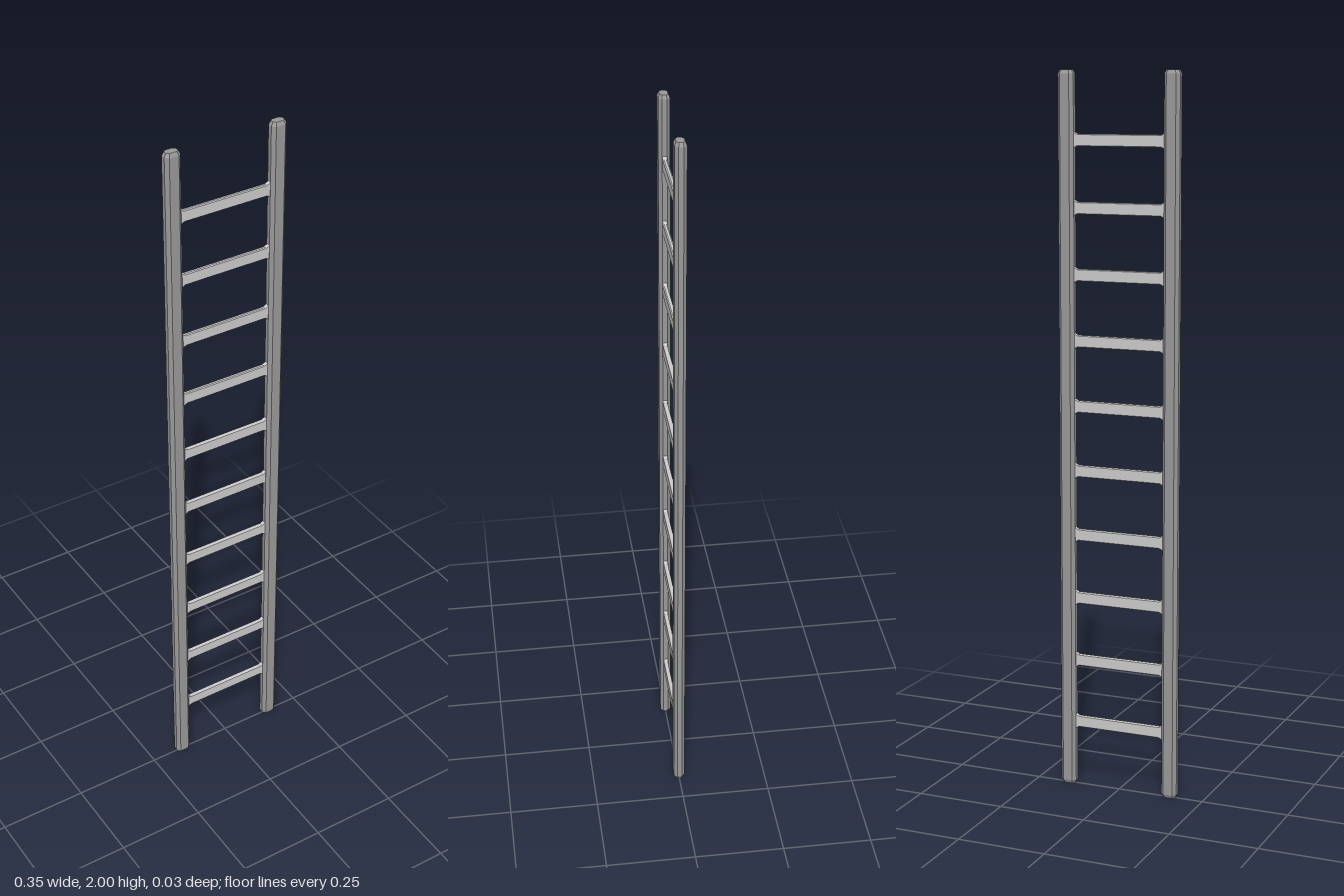
import * as THREE from 'three';

const railMaterial = new THREE.MeshStandardMaterial({ color: 0x999999, flatShading: true });
const rungMaterial = new THREE.MeshStandardMaterial({ color: 0xcccccc, flatShading: true });

// Chamfered bar along +y. Rings are [y, halfWidth, halfDepth, chamferX, chamferZ].
function chamferedBar(rings) {
  const positions = [];
  const index = [];
  for (const [y, w, d, cx, cz] of rings) {
    const corners = [
      [w, d - cz], [w - cx, d], [cx - w, d], [-w, d - cz],
      [-w, cz - d], [cx - w, -d], [w - cx, -d], [w, cz - d],
    ];
    for (const [x, z] of corners) positions.push(x, y, z);
  }
  const last = (rings.length - 1) * 8;
  for (let r = 0; r < last; r += 8) {
    for (let i = 0; i < 8; i++) {
      const j = (i + 1) % 8;
      index.push(r + i, r + 8 + i, r + j, r + j, r + 8 + i, r + 8 + j);
    }
  }
  // End caps
  for (let i = 1; i < 7; i++) {
    index.push(0, i, i + 1);
    index.push(last, last + i + 1, last + i);
  }
  const geometry = new THREE.BufferGeometry();
  geometry.setAttribute('position', new THREE.Float32BufferAttribute(positions, 3));
  geometry.setIndex(index);
  const flat = geometry.toNonIndexed();
  flat.computeVertexNormals();
  return flat;
}

export function createModel() {
  const ladder = new THREE.Group();
  ladder.name = 'ladder';

  // Darker side rails with bevelled ends
  const railGeometry = chamferedBar([
    [0, 0.017, 0.011, 0.007, 0.006],
    [0.01, 0.0225, 0.0155, 0.009, 0.009],
    [1.99, 0.0225, 0.0155, 0.009, 0.009],
    [2, 0.017, 0.011, 0.007, 0.006],
  ]);
  for (const [name, side] of [['leftRail', 1], ['rightRail', -1]]) {
    const rail = new THREE.Mesh(railGeometry, railMaterial);
    rail.name = name;
    rail.position.x = side * 0.153;
    ladder.add(rail);
  }

  // Lighter rungs, flaring in height where they meet the rails
  const rungGeometry = chamferedBar([
    [-0.135, 0.024, 0.006, 0.002, 0.003],
    [-0.121, 0.0165, 0.006, 0.002, 0.003],
    [0.121, 0.0165, 0.006, 0.002, 0.003],
    [0.135, 0.024, 0.006, 0.002, 0.003],
  ]);
  rungGeometry.rotateZ(Math.PI / 2);
  for (let i = 0; i < 10; i++) {
    const rung = new THREE.Mesh(rungGeometry, rungMaterial);
    rung.name = `rung${i + 1}`;
    rung.position.y = 0.186 + i * 0.181;
    ladder.add(rung);
  }
  return ladder;
}
